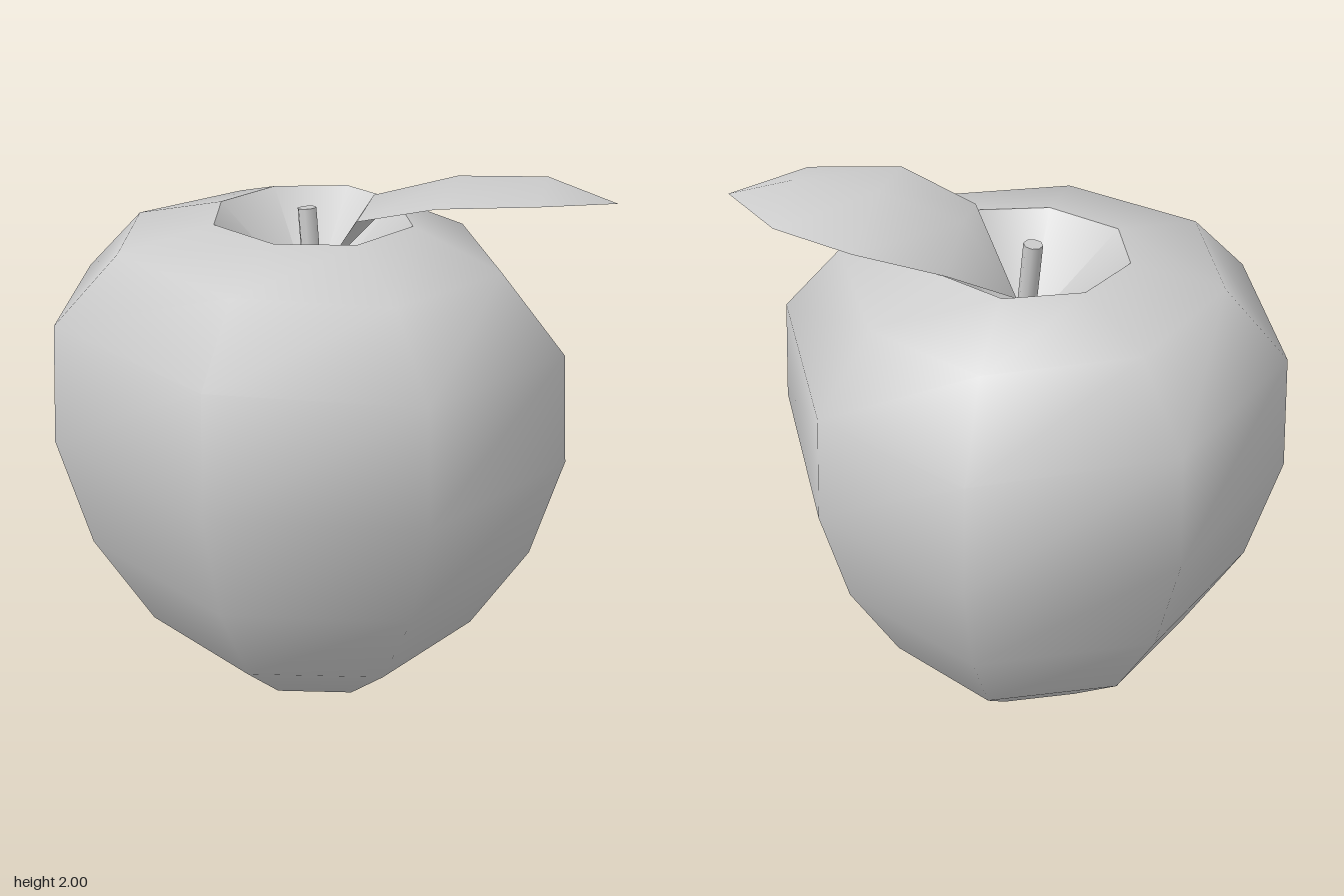
import * as THREE from 'three';

const material = new THREE.MeshStandardMaterial({ color: 0xcccccc });
const doubleSided = new THREE.MeshStandardMaterial({ color: 0xcccccc, side: THREE.DoubleSide });

// Slightly irregular eight-sided outline: angle in degrees and radius factor
const OUTLINE = [
  [-85, 1.01], [-43, 0.92], [10, 1.01], [54, 1.04],
  [97, 1.0], [145, 1.005], [189, 0.995], [232, 1.01],
];

// Skins rings of [radius, y, tilt, zCentre]; tilt lifts the -x +z side
function skin(name, rings) {
  const n = OUTLINE.length, positions = [], index = [];
  rings.forEach(([r, y, tilt = 0, cz = 0], k) => {
    for (const [deg, f] of OUTLINE) {
      const a = THREE.MathUtils.degToRad(deg), c = Math.cos(a), s = Math.sin(a);
      positions.push(-0.055 + r * f * c, y + tilt * (s - c), cz + r * f * s);
    }
    if (k === 0) return;
    for (let i = 0; i < n; i++) {
      const j = (i + 1) % n, lo = (k - 1) * n, hi = k * n;
      if (rings[k - 1][0] > 0) index.push(lo + i, hi + i, lo + j);
      if (r > 0) index.push(lo + j, hi + i, hi + j);
    }
  });
  return mesh(name, positions, index, material);
}

function mesh(name, positions, index, mat) {
  const g = new THREE.BufferGeometry();
  g.setAttribute('position', new THREE.Float32BufferAttribute(positions, 3));
  g.setIndex(index);
  g.computeVertexNormals();
  const m = new THREE.Mesh(g, mat);
  m.name = name;
  return m;
}

// Leaf: base point, three ridged cross-sections, tip
function createLeaf() {
  const positions = [
    -0.02, 0, 0,
    0.18, 0, 0, 0.16, 0, 0, 0.15, 0, 0,
    0.48, 0, 0, 0.45, 0, 0, 0.43, 0, 0,
    0.77, 0, 0, 0.75, 0, 0, 0.75, 0, 0,
    0.985, 0, 0,
  ];
  const heights = [1.6, 1.8, 1.89, 1.86, 1.885, 1.98, 1.95, 1.91, 2.0, 1.96, 1.93];
  const depths = [0, -0.26, -0.02, 0.2, -0.31, -0.01, 0.29, -0.2, 0, 0.22, 0.02];
  heights.forEach((y, i) => {
    positions[i * 3 + 1] = y;
    positions[i * 3 + 2] = depths[i];
  });
  const index = [0, 2, 1, 0, 3, 2];
  for (const a of [1, 2, 4, 5]) index.push(a, a + 1, a + 3, a + 1, a + 4, a + 3);
  index.push(7, 8, 10, 8, 9, 10);
  return mesh('leaf', positions, index, doubleSided);
}

// Short leaning stem rising from the hollow
function createStem() {
  const bottom = new THREE.Vector3(-0.045, 1.46, 0.0);
  const top = new THREE.Vector3(-0.08, 1.825, -0.03);
  const axis = top.clone().sub(bottom);
  const m = new THREE.Mesh(new THREE.CylinderGeometry(0.034, 0.034, axis.length(), 8), material);
  m.position.copy(bottom).add(top).multiplyScalar(0.5);
  m.quaternion.setFromUnitVectors(new THREE.Vector3(0, 1, 0), axis.normalize());
  m.name = 'stem';
  return m;
}

export function createModel() {
  const group = new THREE.Group();
  group.name = 'apple';
  const base = [0.21, 0];
  const rim = [0.365, 1.805, 0, -0.035];

  // Flesh from base ring up to the rim; hollows are separate for crisp edges
  group.add(skin('body', [
    base,
    [0.37, 0.05],
    [0.64, 0.305],
    [0.845, 0.665, 0.01],
    [0.95, 1.065, 0.025],
    [0.92, 1.47, 0.04],
    [0.69, 1.715, 0.025],
    rim,
  ]));
  group.add(skin('stemHollow', [rim, [0, 1.48]]));
  group.add(skin('baseDimple', [[0, 0.1], base]));
  group.add(createStem(), createLeaf());
  return group;
}
